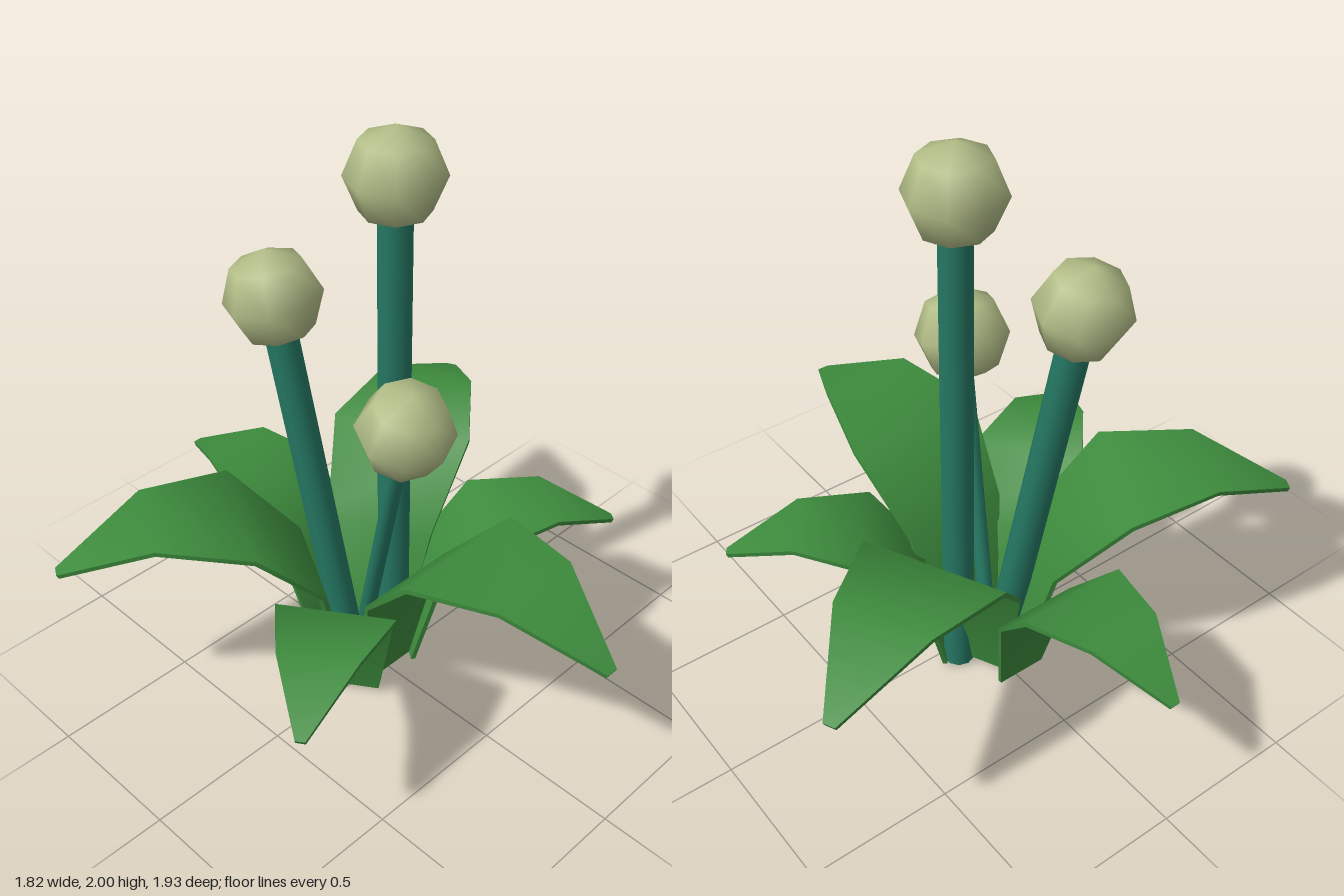
import * as THREE from 'three';

// Leaf centreline as [reach, height, half width], from foot to tip
const PROFILE = [
  [0, 0, 0.09],
  [0.07, 0.35, 0.15],
  [0.25, 0.55, 0.195],
  [0.485, 0.582, 0.13],
  [0.72, 0.472, 0.016],
];
const FOOT = 0.02, THICKNESS = 0.016;

// A segmented box bent along the profile; the leaf grows towards +z
function leafGeometry(scale) {
  const rows = PROFILE.length - 1;
  const geometry = new THREE.BoxGeometry(1, 1, 1, 1, 1, rows);
  const position = geometry.attributes.position;
  for (let i = 0; i < position.count; i++) {
    const row = Math.round((position.getZ(i) + 0.5) * rows);
    const [reach, height, half] = PROFILE[row];
    const before = PROFILE[Math.max(row - 1, 0)];
    const after = PROFILE[Math.min(row + 1, rows)];
    const run = after[0] - before[0], rise = after[1] - before[1];
    const offset = position.getY(i) * THICKNESS / Math.hypot(run, rise);
    // keep the foot cut level
    const lift = row === 0 ? 0 : run * offset;
    position.setXYZ(i,
      position.getX(i) * 2 * half * scale,
      FOOT + height * scale + lift,
      reach * scale - rise * offset);
  }
  geometry.computeVertexNormals();
  return geometry;
}

export function createModel() {
  const model = new THREE.Group();
  model.name = 'plant';
  const material = (name, color) => {
    const m = new THREE.MeshStandardMaterial({ color });
    m.name = name;
    return m;
  };
  const leafGreen = material('leaf green', 0x3d8b3d);
  const stemTeal = material('stem teal', 0x257863);
  const budCream = material('bud pale green', 0xb2bd87);

  const add = (name, geometry, mat) => {
    const mesh = new THREE.Mesh(geometry, mat);
    mesh.name = name;
    model.add(mesh);
    return mesh;
  };

  // Two interleaved whorls: [foot x, foot z, direction x, direction z]
  const whorls = {
    tallLeaf: [1.28, [[-0.012, 0.04, 0, 1], [0.065, -0.117, 0.9, -0.425], [-0.095, -0.12, -0.873, -0.485]]],
    lowLeaf: [1, [[-0.013, -0.245, 0, -1], [0.127, 0.01, 0.82, 0.575], [-0.159, 0.02, -0.832, 0.555]]],
  };
  for (const [name, [scale, leaves]] of Object.entries(whorls)) {
    const geometry = leafGeometry(scale);
    leaves.forEach(([x, z, dx, dz], i) => {
      const leaf = add(name + (i + 1), geometry, leafGreen);
      leaf.position.set(x, 0, z);
      leaf.rotation.y = Math.atan2(dx, dz);
    });
  }

  // Three leaning stems, each carrying a round bud: foot, bud centre, stem radius
  const stalks = [
    [[0.107, 0.01, -0.048], [0.102, 1.842, -0.045], 0.055],
    [[-0.085, 0.01, -0.05], [-0.188, 1.465, -0.278], 0.055],
    [[0.03, 0.01, -0.135], [-0.1, 1.163, 0.2], 0.028],
  ];
  const budGeometry = new THREE.SphereGeometry(0.158, 8, 4);
  stalks.forEach(([foot, top, radius], i) => {
    const a = new THREE.Vector3(...foot), b = new THREE.Vector3(...top);
    const axis = b.clone().sub(a);
    const tilt = new THREE.Quaternion().setFromUnitVectors(
      new THREE.Vector3(0, 1, 0), axis.clone().normalize());

    const stem = add('stem' + (i + 1), new THREE.CylinderGeometry(radius, radius, axis.length(), 10), stemTeal);
    stem.position.copy(a).lerp(b, 0.5);
    stem.quaternion.copy(tilt);

    const bud = add('bud' + (i + 1), budGeometry, budCream);
    bud.position.copy(b);
    bud.quaternion.copy(tilt);
  });

  return model;
}
